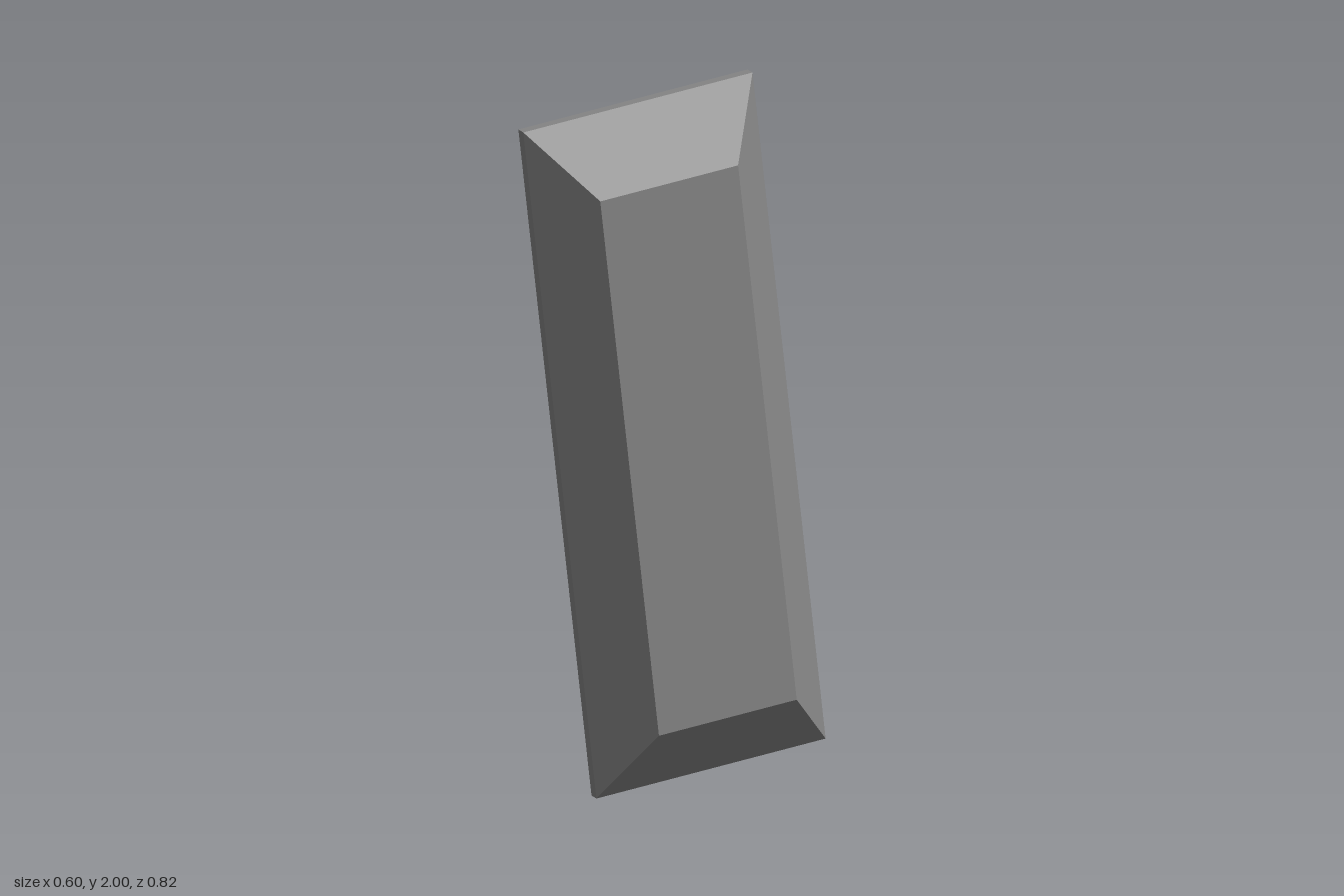
import * as THREE from 'three';

// Rectangular rings of the step cut: [half width, half length, depth]
const RINGS = [
  [0.208, 0.775, 0.152],  // table
  [0.346, 0.966, 0],      // upper girdle
  [0.346, 0.966, -0.031], // lower girdle
  [0.23, 0.805, -0.185],  // pavilion step
  [0, 0.48, -0.339],      // keel line
];

function corners([w, l, d]) {
  return [[-w, -l], [w, -l], [w, l], [-w, l]].map(([x, y]) => new THREE.Vector3(x, y, d));
}

function gemGeometry() {
  const points = [];
  const triangle = (a, b, c) => {
    if (!a.equals(b) && !b.equals(c) && !c.equals(a)) points.push(a, b, c);
  };
  const quad = (a, b, c, d) => {
    triangle(a, b, c);
    triangle(a, c, d);
  };
  const loops = RINGS.map(corners);

  // Flat table
  quad(...loops[0]);

  // Crown, girdle and pavilion facets
  for (let r = 0; r < loops.length - 1; r++) {
    const upper = loops[r], lower = loops[r + 1];
    for (let i = 0; i < 4; i++) {
      const j = (i + 1) % 4;
      quad(lower[i], lower[j], upper[j], upper[i]);
    }
  }
  const geometry = new THREE.BufferGeometry().setFromPoints(points);
  geometry.computeVertexNormals();
  return geometry;
}

export function createModel() {
  const group = new THREE.Group();
  group.name = 'baguetteGem';

  const gem = new THREE.Mesh(
    gemGeometry(),
    new THREE.MeshStandardMaterial({ color: 0x878787, flatShading: true })
  );
  gem.name = 'gemstone';

  // Leaning pose, given by the long axis and the width axis
  const length = new THREE.Vector3(-0.0525, 0.993, 0.1005).normalize();
  const width = new THREE.Vector3(0.459, 0.1156, -0.8815);
  width.addScaledVector(length, -width.dot(length)).normalize();
  const depth = new THREE.Vector3().crossVectors(width, length);
  gem.quaternion.setFromRotationMatrix(new THREE.Matrix4().makeBasis(width, length, depth));
  gem.position.set(0.027, 1, 0.007);

  group.add(gem);
  return group;
}
